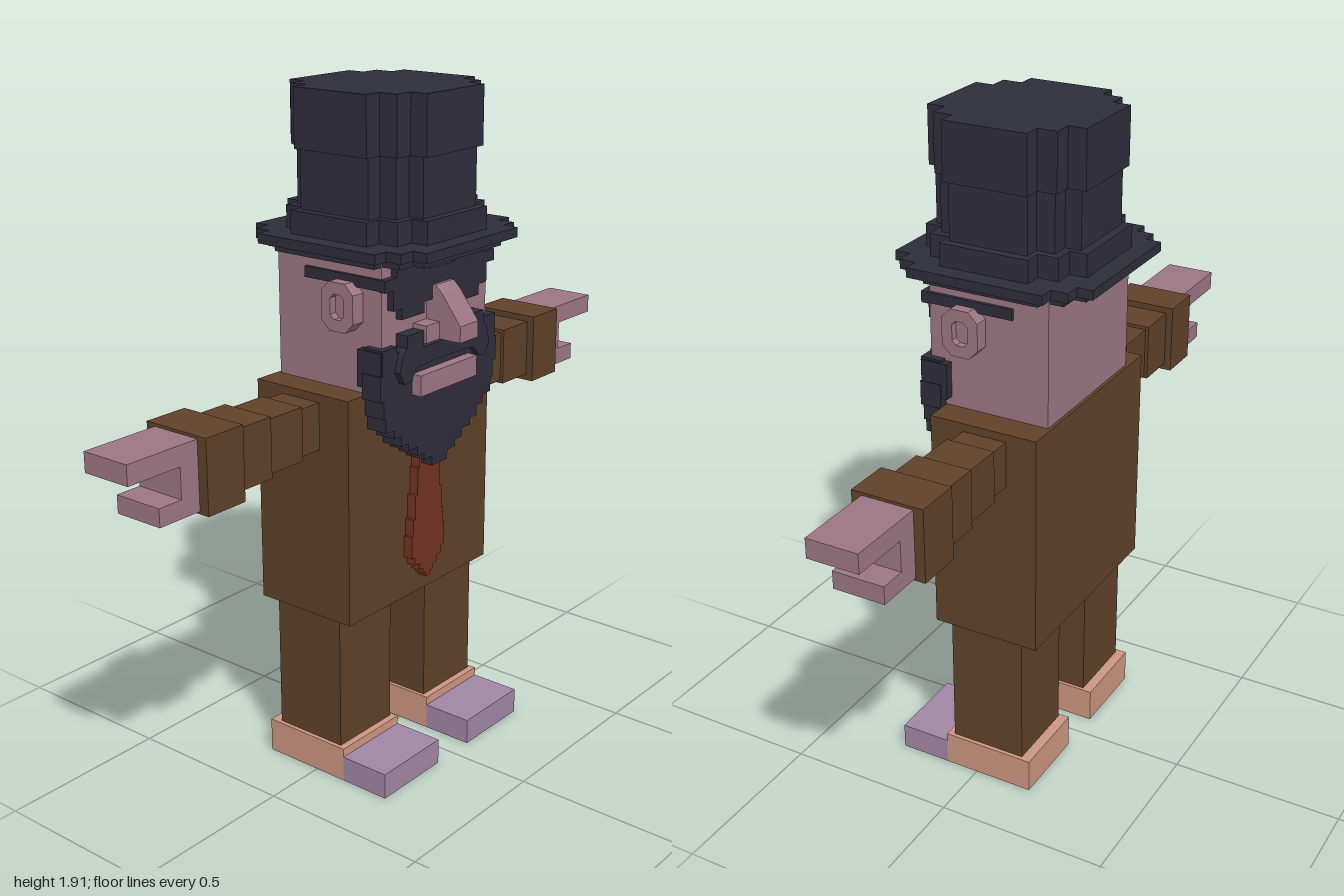
import * as THREE from 'three';

const mat = (name, color) => {
  const m = new THREE.MeshStandardMaterial({ color });
  m.name = name;
  return m;
};

export function createModel() {
  const root = new THREE.Group();
  const brown = mat('suitBrown', 0x5f4129);
  const skin = mat('skin', 0x9c7683);
  const dark = mat('darkNavy', 0x2d2c3a);
  const red = mat('tieRed', 0x733321);
  const peach = mat('shoePeach', 0xcb9580);
  const purple = mat('shoePurple', 0xa086a3);

  const add = (name, geo, material, parent = root) => {
    const m = new THREE.Mesh(geo, material);
    m.name = name;
    parent.add(m);
    return m;
  };
  // Box given by its min and max on each axis
  const box = (name, material, x0, x1, y0, y1, z0, z1) => {
    const g = new THREE.BoxGeometry(x1 - x0, y1 - y0, z1 - z0);
    g.translate((x0 + x1) / 2, (y0 + y1) / 2, (z0 + z1) / 2);
    return add(name, g, material);
  };
  // The same box on either side of x = 0
  const pair = (name, material, x0, x1, ...rest) => {
    box(name + 'Left', material, x0, x1, ...rest);
    box(name + 'Right', material, -x1, -x0, ...rest);
  };
  const shapeOf = (pts) => new THREE.Shape(pts.map(([x, y]) => new THREE.Vector2(x, y)));
  const extrude = (shape, depth) => new THREE.ExtrudeGeometry(shape, { depth, bevelEnabled: false });
  // Plate facing +z from the +x half of its outline
  const plate = (name, material, half, z0, z1) => {
    const pts = [...half, ...half.map(([x, y]) => [-x, y]).reverse()];
    return add(name, extrude(shapeOf(pts), z1 - z0).translate(0, 0, z0), material);
  };
  // Turn an outline into steps: across first, then along
  const stairs = (pts) => pts.flatMap((p, i) => (i ? [[p[0], pts[i - 1][1]], p] : [p]));

  // Trunk, legs and shoes
  box('torso', brown, -0.313, 0.313, 0.49, 1.135, -0.195, 0.125);
  pair('leg', brown, 0.08, 0.303, 0.1, 0.49, -0.145, 0.08);
  pair('shoeHeel', peach, 0.07, 0.315, 0, 0.1, -0.175, 0.1);
  pair('shoeToe', purple, 0.07, 0.315, 0, 0.075, 0.1, 0.25);

  // Sleeves widen towards the cuff
  [
    [0.31, 0.385, 0.98, 1.112, -0.105, 0.025],
    [0.385, 0.515, 0.97, 1.12, -0.112, 0.03],
    [0.515, 0.64, 0.962, 1.13, -0.122, 0.04],
    [0.64, 0.77, 0.943, 1.148, -0.143, 0.063],
  ].forEach((b, i) => pair('sleeve' + (i + 1), brown, ...b));

  // Hands: palm, long upper finger, short lower finger
  pair('palm', skin, 0.77, 0.83, 0.95, 1.14, -0.115, 0.033);
  pair('upperFinger', skin, 0.83, 1, 1.085, 1.14, -0.115, 0.033);
  pair('lowerFinger', skin, 0.83, 0.905, 0.95, 1.0, -0.115, 0.033);

  // Tie
  plate('tie', red, stairs([[0.033, 0.95], [0.042, 0.88], [0.05, 0.8], [0.06, 0.73], [0.068, 0.68],
    [0.075, 0.615], [0.06, 0.59], [0.04, 0.57], [0.022, 0.553], [0.01, 0.54]]), 0.125, 0.153);

  // Head and ears
  box('head', skin, -0.23, 0.23, 1.13, 1.49, -0.185, 0.17);
  const hexagon = (w, h, b) => [[-w, -h + b], [-w + b, -h], [w - b, -h], [w, -h + b],
    [w, h - b], [w - b, h], [-w + b, h], [-w, h - b]];
  const earShape = shapeOf(hexagon(0.054, 0.066, 0.027));
  earShape.holes.push(new THREE.Path(shapeOf(hexagon(0.023, 0.034, 0.012)).getPoints()));
  for (const s of [1, -1]) {
    const side = s > 0 ? 'Left' : 'Right';
    const ear = extrude(earShape, 0.045).rotateY(-Math.PI / 2);
    ear.translate(s > 0 ? 0.272 : -0.227, 1.368, 0.055);
    add('ear' + side, ear, skin);
  }
  pair('innerEar', skin, 0.227, 0.25, 1.33, 1.405, 0.03, 0.08);

  // Nose: sloped bridge with nostrils
  const nose = extrude(shapeOf([[0.165, 1.26], [0.283, 1.26], [0.283, 1.305], [0.222, 1.385],
    [0.2, 1.405], [0.165, 1.405]]), 0.08).rotateY(-Math.PI / 2).translate(0.04, 0, 0);
  add('nose', nose, skin);
  pair('nostril', skin, 0.04, 0.098, 1.26, 1.308, 0.165, 0.215);

  // Sunglasses
  plate('sunglasses', dark, [[0, 1.45], [0.055, 1.45], [0.055, 1.475], [0.19, 1.475], [0.19, 1.452],
    [0.24, 1.452], [0.24, 1.42], [0.205, 1.42], [0.205, 1.365], [0.17, 1.365], [0.17, 1.335],
    [0.075, 1.335], [0.075, 1.365], [0.04, 1.365], [0.04, 1.405], [0, 1.405]], 0.168, 0.19);
  pair('glassesArm', dark, 0.23, 0.24, 1.422, 1.452, -0.083, 0.17);

  // Beard, moustache and mouth
  plate('beard', dark, [[0, 1.25], [0.19, 1.25], [0.19, 1.268], [0.25, 1.268],
    ...stairs([[0.25, 1.2], [0.258, 1.13], [0.245, 1.08], [0.235, 1.04], [0.2, 1.015], [0.17, 0.985],
      [0.14, 0.965], [0.1, 0.94], [0.07, 0.92], [0.035, 0.893]])], 0.127, 0.19);
  pair('sideBeard', dark, 0.225, 0.255, 1.16, 1.262, 0.108, 0.188);
  plate('moustache', dark, [[0, 1.25], [0.098, 1.25], [0.098, 1.295], [0.17, 1.295], [0.17, 1.262],
    [0.185, 1.245], [0.2, 1.2], [0.18, 1.165], [0.15, 1.17], [0.125, 1.2], [0, 1.205]], 0.168, 0.208);
  box('mouth', skin, -0.125, 0.125, 1.12, 1.178, 0.165, 0.22);

  // Hat: stacked layers with stepped corners
  const layer = (name, a, b, c, y0, y1) => {
    const half = [[c, a], [c, b], [b, b], [b, c], [a, c], [a, -c], [b, -c], [b, -b], [c, -b], [c, -a]];
    const m = plate(name, dark, half, 0, y1 - y0);
    m.geometry.rotateX(-Math.PI / 2).translate(0, y0, 0);
  };
  layer('hatUnderBrim', 0.26, 0.225, 0.17, 1.483, 1.508);
  layer('hatBrim', 0.293, 0.248, 0.2, 1.505, 1.532);
  layer('hatBand', 0.24, 0.19, 0.13, 1.53, 1.595);
  layer('hatCrown', 0.215, 0.168, 0.115, 1.59, 1.755);
  layer('hatTop', 0.23, 0.178, 0.122, 1.755, 1.915);

  return root;
}
